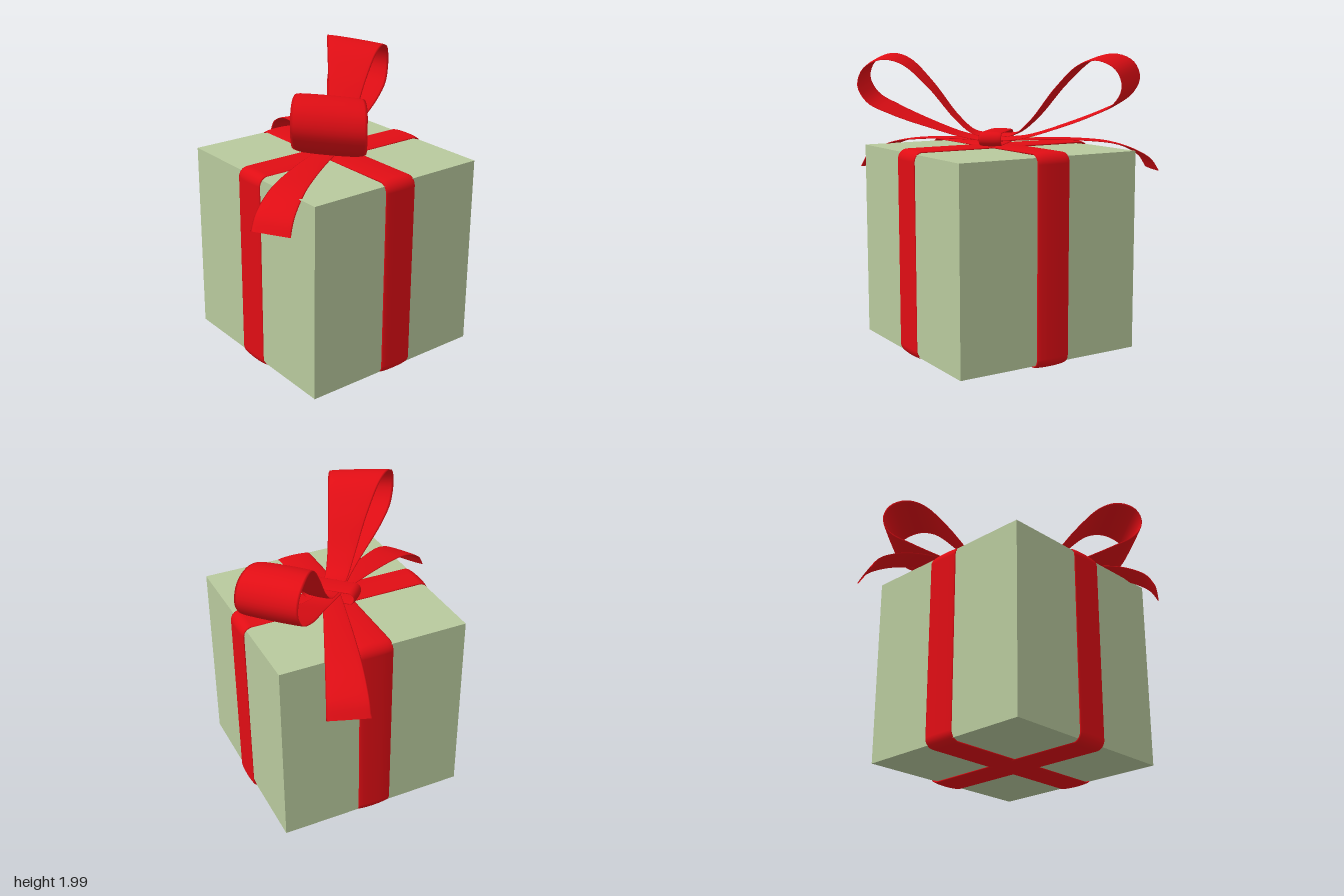
import * as THREE from 'three';

const red = new THREE.MeshStandardMaterial({ color: 0xe00d14, side: THREE.DoubleSide });
const green = new THREE.MeshStandardMaterial({ color: 0xb8c99d });
const V = (x, y, z) => new THREE.Vector3(x, y, z);

// Sweeps a thin oval section along a path; widthAt(point) gives the half-width vector
function sweep(name, path, widthAt, halfThick, closed) {
  const n = path.length, sides = 16, pos = [], index = [];
  path.forEach((p, i) => {
    const prev = path[closed ? (i + n - 1) % n : Math.max(i - 1, 0)];
    const next = path[closed ? (i + 1) % n : Math.min(i + 1, n - 1)];
    const w = widthAt(p);
    const normal = next.clone().sub(prev).cross(w).normalize();
    for (let j = 0; j < sides; j++) {
      const a = (j / sides) * Math.PI * 2;
      const q = p.clone().addScaledVector(w, Math.cos(a)).addScaledVector(normal, Math.sin(a) * halfThick);
      pos.push(q.x, q.y, q.z);
    }
  });
  for (let i = 0; i < (closed ? n : n - 1); i++) {
    for (let j = 0; j < sides; j++) {
      const k = (j + 1) % sides, r0 = i * sides, r1 = ((i + 1) % n) * sides;
      index.push(r0 + j, r0 + k, r1 + j, r0 + k, r1 + k, r1 + j);
    }
  }
  const geo = new THREE.BufferGeometry();
  geo.setAttribute('position', new THREE.Float32BufferAttribute(pos, 3));
  geo.setIndex(index);
  geo.computeVertexNormals();
  const mesh = new THREE.Mesh(geo, red);
  mesh.name = name;
  return mesh;
}

// Closed rounded-rectangle band in the XY plane, its width along z
function band(name, a, b, r, halfWidth, halfThick) {
  const path = [], steps = 8;
  [[1, 1], [-1, 1], [-1, -1], [1, -1]].forEach(([sx, sy], c) => {
    for (let i = 0; i <= steps; i++) {
      const t = (c + i / steps) * Math.PI / 2;
      path.push(V(sx * (a - r) + Math.cos(t) * r, sy * (b - r) + Math.sin(t) * r, 0));
    }
  });
  return sweep(name, path, () => V(0, 0, halfWidth), halfThick, true);
}

const smoothPath = (points, count) => new THREE.CatmullRomCurve3(points).getSpacedPoints(count);

// Bow loop, leaning sideways and widening away from the knot
function bowLoop(name, side) {
  const profile = [
    [0.02, 1.425], [0.2, 1.445], [0.47, 1.53], [0.7, 1.62], [0.85, 1.70], [0.91, 1.81], [0.87, 1.92],
    [0.75, 1.975], [0.62, 1.945], [0.45, 1.79], [0.27, 1.57], [0.15, 1.47], [0.02, 1.45],
  ];
  const path = smoothPath(profile.map(([d, y]) => V(side * d, y, -0.085 * d)), 72);
  const width = (p) => V(-0.16 * side, -0.1, -1)
    .multiplyScalar(0.08 + 0.14 * THREE.MathUtils.smoothstep(Math.abs(p.x), 0.1, 0.9));
  return sweep(name, path, width, 0.006, false);
}

// Loose ribbon end that lies on the lid and droops over its edge
function tail(name, dx, dz) {
  const stretch = Math.hypot(dx, dz) / 1.03;
  const profile = [[0, 1.415], [0.3, 1.42], [0.55, 1.41], [0.75, 1.385], [0.88, 1.34], [0.98, 1.275], [1.03, 1.195]];
  const path = smoothPath(profile.map(([s, y]) => V(s * stretch, y, 0)), 40);
  const mesh = sweep(name, path, (p) => V(0, 0, 0.06 + 0.07 * p.x), 0.006, false);
  mesh.rotation.y = -Math.atan2(dz, dx);
  return mesh;
}

export function createModel() {
  const group = new THREE.Group();
  group.name = 'giftBox';
  group.position.set(0.13, 0, -0.07);

  const box = new THREE.Mesh(new THREE.BoxGeometry(1.328, 1.33, 1.328), green);
  box.name = 'box';
  box.position.y = 0.7;

  // Two crossing wrapped bands
  const sideBand = band('sideToSideBand', 0.679, 0.679, 0.06, 0.12, 0.012);
  const frontBand = band('frontToBackBand', 0.683, 0.683, 0.06, 0.12, 0.012);
  sideBand.position.y = frontBand.position.y = 0.7;
  frontBand.rotation.y = Math.PI / 2;

  // Bow set diagonally across the lid
  const bow = new THREE.Group();
  bow.name = 'bow';
  bow.rotation.y = -Math.PI / 4;
  const knot = band('knot', 0.188, 0.04, 0.039, 0.076, 0.009);
  knot.position.y = 1.437;
  knot.rotation.y = Math.PI / 2;
  bow.add(knot, bowLoop('frontLoop', 1), bowLoop('backLoop', -1));

  const wrapper = new THREE.Group();
  group.add(box, sideBand, frontBand, bow, tail('frontTail', 0.52, 0.885), tail('backTail', -1.05, -0.375));
  wrapper.name = 'present';
  wrapper.add(group);
  return wrapper;
}
